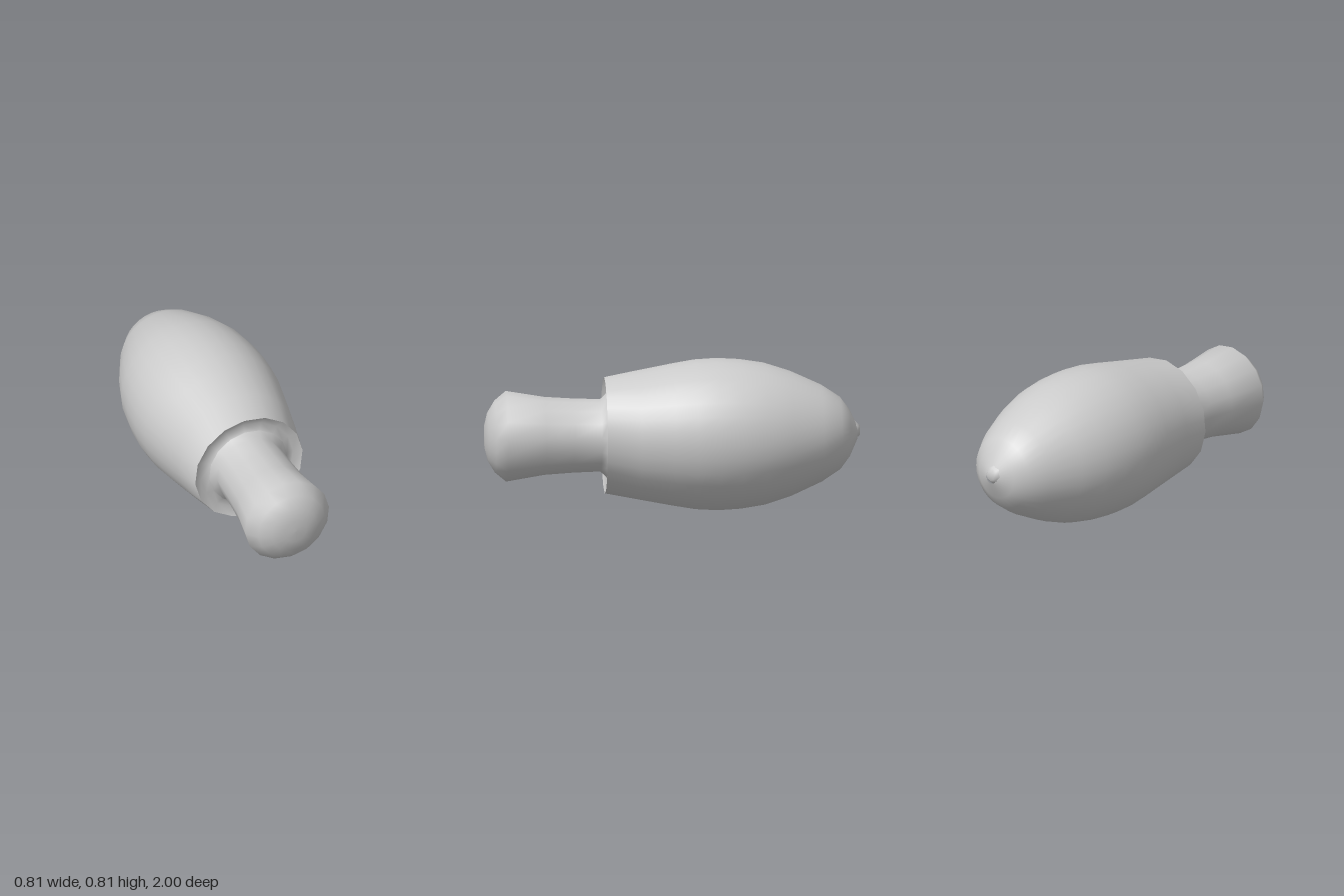
import * as THREE from 'three';

const AXIS_Y = 0.405;   // height of the long axis
const TWIST = 0.085;    // the 16-sided parts are turned slightly about the axis

const material = new THREE.MeshStandardMaterial({ color: 0xcccccc });

// Revolve a [radius, z] profile, listed from back to front, about the z axis.
function revolve(profile, sides, twist = 0) {
  const points = profile.map(([r, z]) => new THREE.Vector2(r, z));
  return new THREE.LatheGeometry(points, sides).rotateX(Math.PI / 2).rotateZ(twist);
}

export function createModel() {
  const group = new THREE.Group();
  const add = (name, geometry) => {
    const mesh = new THREE.Mesh(geometry, material);
    mesh.name = name;
    mesh.position.y = AXIS_Y;
    group.add(mesh);
  };

  // Bulbous body tapering to the back
  const bodyProfile = [
    [0.035, -0.985], [0.125, -0.945], [0.192, -0.895], [0.258, -0.795], [0.333, -0.63],
    [0.378, -0.49], [0.398, -0.36], [0.405, -0.24], [0.398, -0.12], [0.378, 0],
    [0.344, 0.18], [0.31, 0.36],
  ];
  const sides = 32;
  const body = revolve(bodyProfile, sides);

  // Reduce the front ring to a 16-sided rim by flattening every other corner
  const pos = body.attributes.position;
  const rim = bodyProfile.length - 1;
  const v = new THREE.Vector3();
  const axis = new THREE.Vector3(0, 0, 1);
  for (let i = 0; i <= sides; i++) {
    const k = i * bodyProfile.length + rim;
    const s = i % 2 ? Math.cos(Math.PI / 16) : 1;
    v.fromBufferAttribute(pos, k).applyAxisAngle(axis, TWIST);
    pos.setXYZ(k, v.x * s, v.y * s, v.z);
  }
  add('body', body);

  // Small blunt nub at the back end, slightly off the axis
  const nub = revolve([[0, -1], [0.026, -1], [0.04, -0.984], [0.06, -0.965]], 8);
  nub.translate(-0.006, 0.012, 0);
  add('tip', nub);

  // Shallow dished face inside the rim
  add('rimFace', revolve([[0.2, 0.372], [0.225, 0.35], [0.265, 0.335], [0.31, 0.36]].reverse(), 16, TWIST));

  // Flared handle with a domed end
  add('handle', revolve([
    [0.225, 0.35], [0.193, 0.383], [0.198, 0.53], [0.208, 0.68], [0.242, 0.885],
    [0.192, 0.945], [0.13, 0.982], [0.065, 0.998], [0, 1],
  ], 16, TWIST));

  return group;
}
